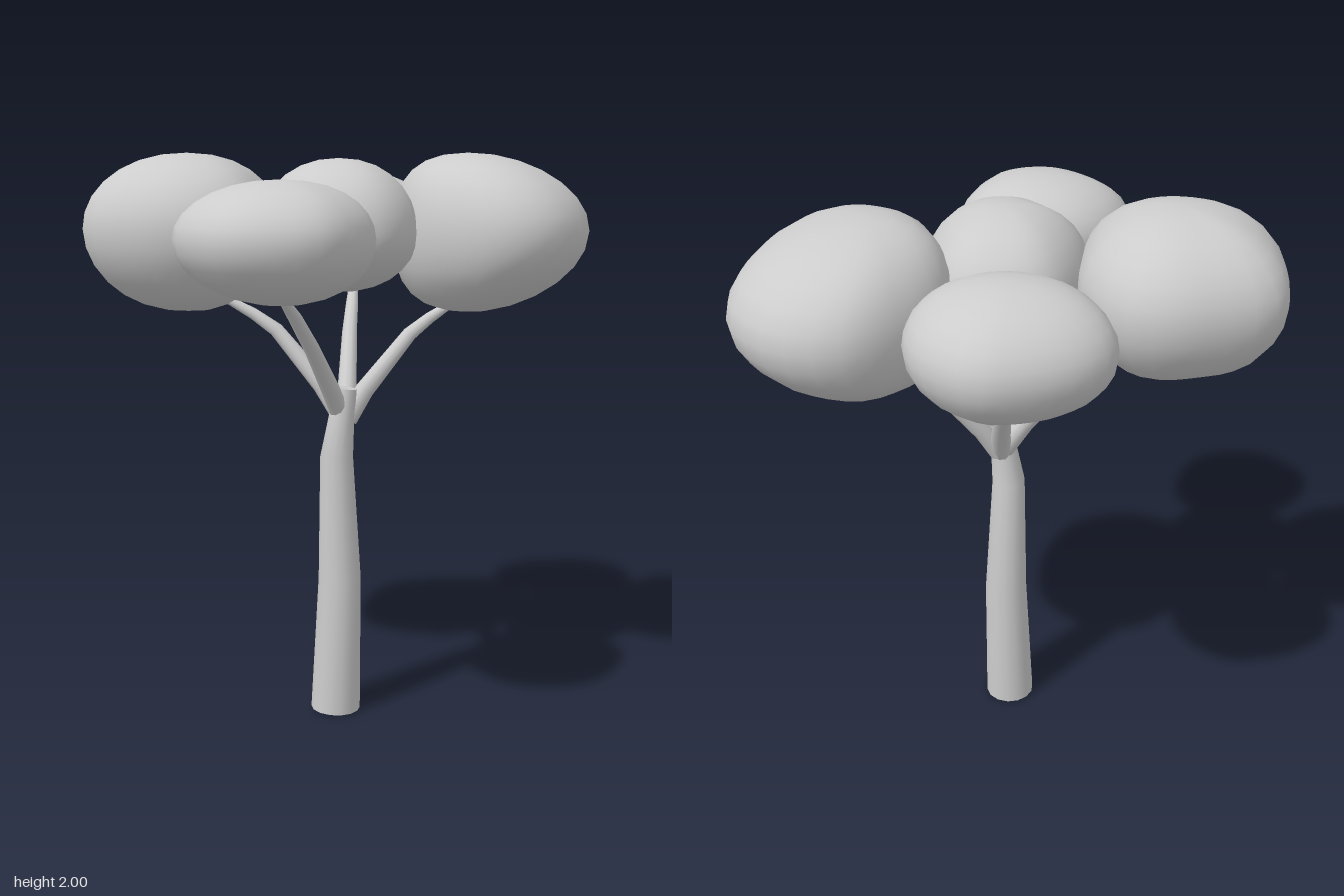
import * as THREE from 'three';

const grey = new THREE.MeshStandardMaterial({ color: 0xcccccc });
grey.name = 'pale grey';

// Skin over rings of points stacked from start to end, closed by a point at each end.
// With hard = true the end caps get their own vertices, so their rims stay sharp.
function loft(rings, start, end, hard) {
  const n = rings[0].length, pos = [], idx = [];
  const add = (p) => pos.push(p.x, p.y, p.z) / 3 - 1;
  const ids = rings.map((ring) => ring.map(add));
  for (let i = 0; i < rings.length - 1; i++) {
    for (let j = 0; j < n; j++) {
      const k = (j + 1) % n;
      const a = ids[i][j], b = ids[i][k], c = ids[i + 1][j], d = ids[i + 1][k];
      idx.push(a, c, b, b, c, d);
    }
  }
  const last = rings.length - 1;
  const first = hard ? rings[0].map(add) : ids[0];
  const final = hard ? rings[last].map(add) : ids[last];
  const s = add(start), e = add(end);
  for (let j = 0; j < n; j++) {
    const k = (j + 1) % n;
    idx.push(s, first[j], first[k], e, final[k], final[j]);
  }
  const geo = new THREE.BufferGeometry();
  geo.setAttribute('position', new THREE.Float32BufferAttribute(pos, 3));
  geo.setIndex(idx);
  geo.computeVertexNormals();
  return geo;
}

// Tapered round limb through stations [x, y, z, radius]
function limb(stations, sides) {
  const pts = stations.map(([x, y, z]) => new THREE.Vector3(x, y, z));
  const rings = pts.map((p, i) => {
    const before = pts[Math.max(i - 1, 0)], after = pts[Math.min(i + 1, pts.length - 1)];
    const t = after.clone().sub(before).normalize();
    const u = new THREE.Vector3(1, 0, 0).addScaledVector(t, -t.x).normalize();
    const v = u.clone().cross(t);
    return Array.from({ length: sides }, (_, j) => {
      const a = (j / sides) * Math.PI * 2, r = stations[i][3];
      return p.clone().addScaledVector(u, r * Math.cos(a)).addScaledVector(v, r * Math.sin(a));
    });
  });
  return loft(rings, pts[0], pts[pts.length - 1], true);
}

// Lumpy rounded canopy: plan outline [x, z], heights, and plan position of both poles
function canopy({ outline, low, mid, high, pole }) {
  const SIDES = 28, RINGS = 13;
  const curve = new THREE.CatmullRomCurve3(
    outline.map(([x, z]) => new THREE.Vector3(x, 0, z)), true);
  const edge = curve.getSpacedPoints(SIDES).slice(0, SIDES);
  const box = new THREE.Box3().setFromPoints(edge);
  const centre = box.getCenter(new THREE.Vector3());
  const top = new THREE.Vector3(pole[0], 0, pole[1]);
  const rings = [];
  for (let i = 1; i <= RINGS; i++) {
    const phi = (i / (RINGS + 1) - 0.5) * Math.PI;
    const h = Math.sin(phi), s = Math.pow(Math.cos(phi), 0.92);
    const c = centre.clone().lerp(top, h * h);
    const y = mid + h * (h > 0 ? high - mid : mid - low);
    rings.push(edge.map((p) => new THREE.Vector3(
      c.x + (p.x - centre.x) * s, y, c.z + (p.z - centre.z) * s)));
  }
  return loft(rings, top.clone().setY(low), top.clone().setY(high), false);
}

const CANOPIES = {
  rightCanopy: {
    low: 1.45, mid: 1.74, high: 2.0, pole: [-0.53, -0.14],
    outline: [[-0.89, -0.07], [-0.88, -0.19], [-0.79, -0.43], [-0.57, -0.49], [-0.4, -0.49],
      [-0.28, -0.42], [-0.2, -0.22], [-0.21, -0.12], [-0.27, 0.09], [-0.35, 0.17],
      [-0.54, 0.21], [-0.71, 0.16], [-0.85, 0.05]],
  },
  leftCanopy: {
    low: 1.45, mid: 1.73, high: 2.0, pole: [0.45, -0.12],
    outline: [[0.19, -0.21], [0.24, -0.33], [0.35, -0.44], [0.53, -0.54], [0.73, -0.49],
      [0.86, -0.33], [0.89, -0.19], [0.86, -0.02], [0.81, 0.11], [0.7, 0.25],
      [0.6, 0.285], [0.5, 0.28], [0.27, 0.12], [0.2, -0.05]],
  },
  backCanopy: {
    low: 1.53, mid: 1.74, high: 1.94, pole: [0.06, -0.53],
    outline: [[-0.25, -0.61], [-0.21, -0.71], [-0.09, -0.79], [0.11, -0.82], [0.21, -0.8],
      [0.34, -0.66], [0.37, -0.49], [0.32, -0.37], [0.17, -0.29], [-0.04, -0.31], [-0.21, -0.44]],
  },
  middleCanopy: {
    low: 1.53, mid: 1.73, high: 1.98, pole: [0, 0],
    outline: [[-0.28, 0.05], [-0.2, -0.18], [-0.07, -0.31], [0.15, -0.29], [0.24, -0.2],
      [0.27, 0], [0.25, 0.14], [0.15, 0.28], [0.01, 0.31], [-0.14, 0.26], [-0.23, 0.14]],
  },
  frontCanopy: {
    low: 1.53, mid: 1.73, high: 1.91, pole: [-0.18, 0.5],
    outline: [[-0.51, 0.52], [-0.45, 0.36], [-0.32, 0.25], [-0.2, 0.22], [-0.05, 0.24],
      [0.04, 0.32], [0.1, 0.43], [0.11, 0.52], [0.05, 0.67], [-0.04, 0.78],
      [-0.2, 0.81], [-0.35, 0.77], [-0.47, 0.62]],
  },
};

const BRANCHES = {
  rightBranch: [[0.01, 1.09, 0, 0.035], [-0.06, 1.2, -0.02, 0.033],
    [-0.22, 1.39, -0.06, 0.025], [-0.3, 1.445, -0.07, 0.02], [-0.4, 1.5, -0.08, 0.014]],
  leftBranch: [[0.03, 1.08, 0, 0.035], [0.09, 1.18, -0.02, 0.033],
    [0.25, 1.375, -0.06, 0.025], [0.32, 1.43, -0.07, 0.02], [0.4, 1.48, -0.09, 0.014]],
  frontBranch: [[0.01, 1.09, 0.01, 0.035], [-0.03, 1.2, 0.08, 0.034],
    [-0.09, 1.36, 0.24, 0.027], [-0.14, 1.47, 0.35, 0.023], [-0.18, 1.55, 0.46, 0.014]],
  backBranch: [[0.02, 1.08, 0, 0.035], [0.03, 1.18, -0.07, 0.034],
    [0.04, 1.36, -0.23, 0.027], [0.05, 1.45, -0.32, 0.023], [0.06, 1.55, -0.46, 0.014]],
};

export function createModel() {
  const tree = new THREE.Group();
  tree.name = 'tree';
  const add = (name, geometry) => {
    const mesh = new THREE.Mesh(geometry, grey);
    mesh.name = name;
    tree.add(mesh);
  };

  // Slightly crooked trunk with flat ends
  add('trunk', limb([[-0.012, 0.005, 0.005, 0.089], [0.003, 0.5, 0.004, 0.076],
    [-0.008, 0.95, 0.019, 0.058], [0.008, 1.08, 0.021, 0.046], [0.024, 1.195, 0.02, 0.039]], 14));

  // Four bent branches under the outer canopies
  for (const [name, stations] of Object.entries(BRANCHES)) add(name, limb(stations, 10));

  // Five clumps of leaves
  for (const [name, spec] of Object.entries(CANOPIES)) add(name, canopy(spec));

  return tree;
}
